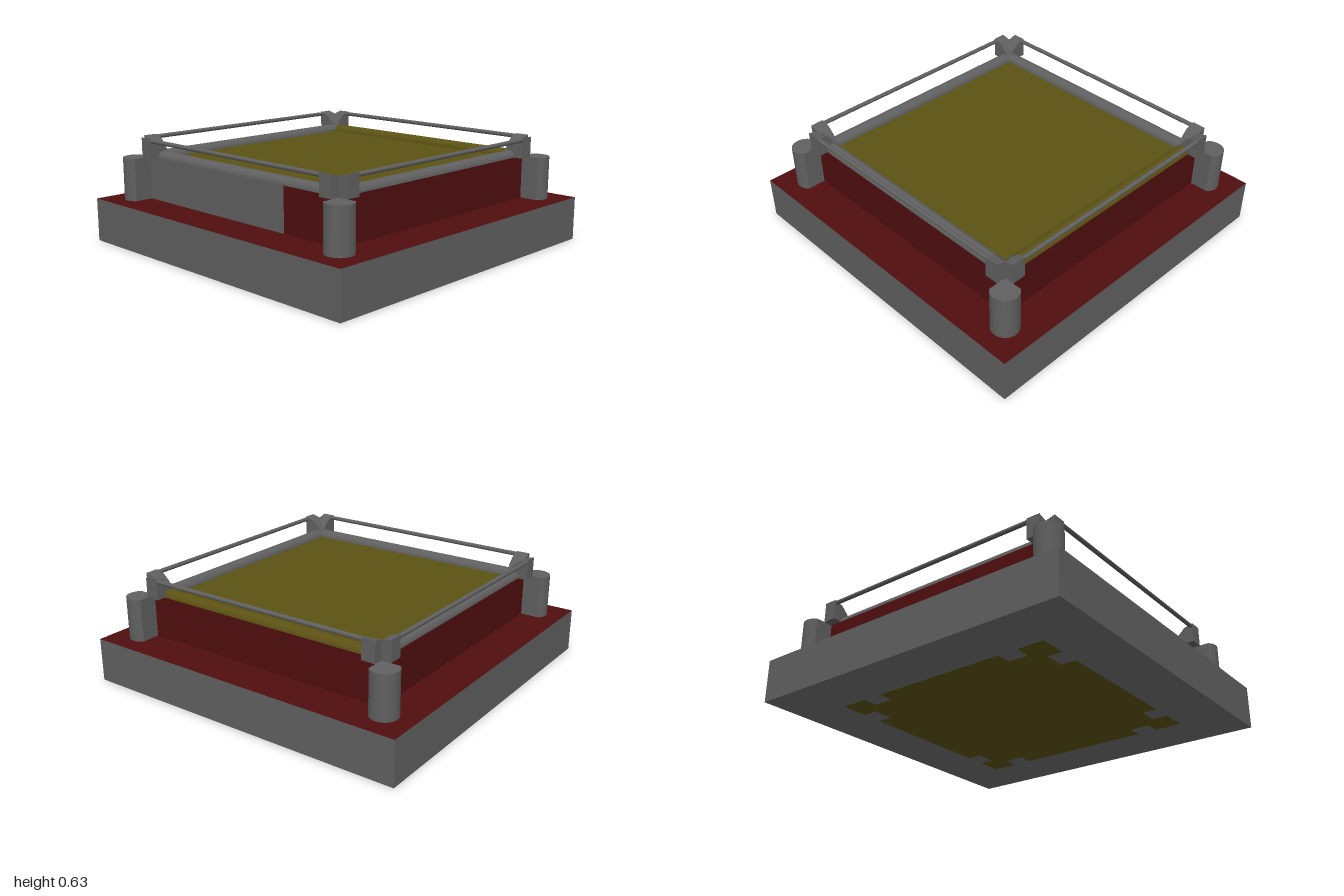
import * as THREE from 'three';
import { mergeGeometries, toCreasedNormals } from 'three/addons/utils/BufferGeometryUtils.js';

const paint = (color) => new THREE.MeshStandardMaterial({ color });
const grey = paint(0x606060), red = paint(0x500e0f), yellow = paint(0x5c5214);
const paleGrey = paint(0x6e6e6e);

const BASE = 0.255, DECK = 0.505;   // heights of the slab top and the deck
const IN = 0.69, OUT = 0.77;        // inner and outer line of the deck border

function add(parent, name, geometry, material) {
  const mesh = new THREE.Mesh(geometry, material);
  mesh.name = name;
  parent.add(mesh);
  return mesh;
}

function extrude(shape, depth, crease = 0.6) {
  const g = new THREE.ExtrudeGeometry(shape, { depth, bevelEnabled: false, curveSegments: 24 });
  return toCreasedNormals(g, crease);
}

function polygon(points) {
  return new THREE.Shape(points.map(([x, y]) => new THREE.Vector2(x, y)));
}

// Bracket arm: an outer stub, and a sloped inner part mitred along the corner diagonal
function bracketGeometry(side) {
  const stub = [[OUT, DECK], [0.825, DECK], [0.825, 0.625], [OUT, 0.61]];
  const slope = [[IN, DECK], [OUT, DECK], [OUT, 0.61], [0.73, 0.572]];
  const parts = [stub, slope].map((points) => {
    const g = new THREE.ExtrudeGeometry(polygon(points), { depth: OUT - IN, bevelEnabled: false });
    g.translate(0, 0, side > 0 ? IN : -OUT);
    const p = g.attributes.position;
    for (let i = 0; i < p.count; i++) {
      const limit = p.getX(i);
      p.setZ(i, THREE.MathUtils.clamp(p.getZ(i), -limit, limit));
    }
    return toCreasedNormals(g, 0.1);
  });
  return mergeGeometries(parts);
}

// Half-round border strip running along z
function curbGeometry() {
  const s = new THREE.Shape();
  s.absellipse((IN + OUT) / 2, DECK, (OUT - IN) / 2, 0.04, 0, Math.PI, false);
  const g = extrude(s, IN * 2);
  g.translate(0, 0, -IN);
  return g;
}

// Round pillar with two flat faces meeting at the block corner
function pillarGeometry() {
  const c = 0.828, r = 0.077;
  const a = Math.acos((c - OUT) / r);
  const s = new THREE.Shape();
  s.moveTo(OUT, OUT);
  s.lineTo(c + r * Math.sin(a), OUT);
  s.absarc(c, c, r, a - Math.PI / 2, Math.PI - a, false);
  s.lineTo(OUT, OUT);
  const g = extrude(s, DECK - BASE);
  g.rotateX(-Math.PI / 2);
  g.translate(0, BASE, 0);
  return g;
}

// Square inlay with two notches in every edge
function inlayGeometry() {
  const pts = [];
  const edge = [[-IN, IN], [-0.53, IN], [-0.53, 0.6], [-0.41, 0.6], [-0.41, IN],
    [0.41, IN], [0.41, 0.6], [0.53, 0.6], [0.53, IN]];
  for (let k = 0; k < 4; k++) {
    for (const [x, y] of edge) {
      const v = new THREE.Vector2(x, y).rotateAround(new THREE.Vector2(), -k * Math.PI / 2);
      pts.push([v.x, v.y]);
    }
  }
  const g = new THREE.ShapeGeometry(polygon(pts));
  g.rotateX(Math.PI / 2);
  return g;
}

export function createModel() {
  const model = new THREE.Group();
  model.name = 'platform';

  // Slab with a red top, and the raised block with a yellow deck
  const slab = new THREE.BoxGeometry(2, BASE, 2);
  add(model, 'baseSlab', slab, [grey, grey, red, paleGrey, grey, grey]).position.y = BASE / 2;
  const block = new THREE.BoxGeometry(OUT * 2, DECK - BASE, OUT * 2);
  add(model, 'deckBlock', block, [red, red, yellow, red, red, red])
    .position.y = (BASE + DECK) / 2;

  // Grey panel on one wall
  const panel = new THREE.BoxGeometry(0.004, DECK - BASE, 1.15);
  add(model, 'wallPanel', panel, grey).position.set(-OUT, (BASE + DECK) / 2, -0.195);

  // Inlay under the slab
  add(model, 'undersideInlay', inlayGeometry(), yellow).position.y = -0.001;

  // Border, rail, brackets and pillar, repeated round the four sides
  const curb = curbGeometry(), pillar = pillarGeometry();
  const brackets = [bracketGeometry(-1), bracketGeometry(1)];
  const rail = new THREE.CylinderGeometry(0.0125, 0.0125, IN * 2 + 0.02, 16);
  rail.rotateX(Math.PI / 2);
  rail.translate(0.8125, 0.611, 0);
  for (let k = 0; k < 4; k++) {
    const side = new THREE.Group();
    side.name = 'side';
    side.rotation.y = k * Math.PI / 2;
    add(side, 'curb', curb, k === 0 ? yellow : grey);
    add(side, 'rail', rail, grey);
    for (const b of brackets) add(side, 'cornerBracket', b, grey);
    add(side, 'cornerPillar', pillar, grey);
    model.add(side);
  }
  return model;
}
